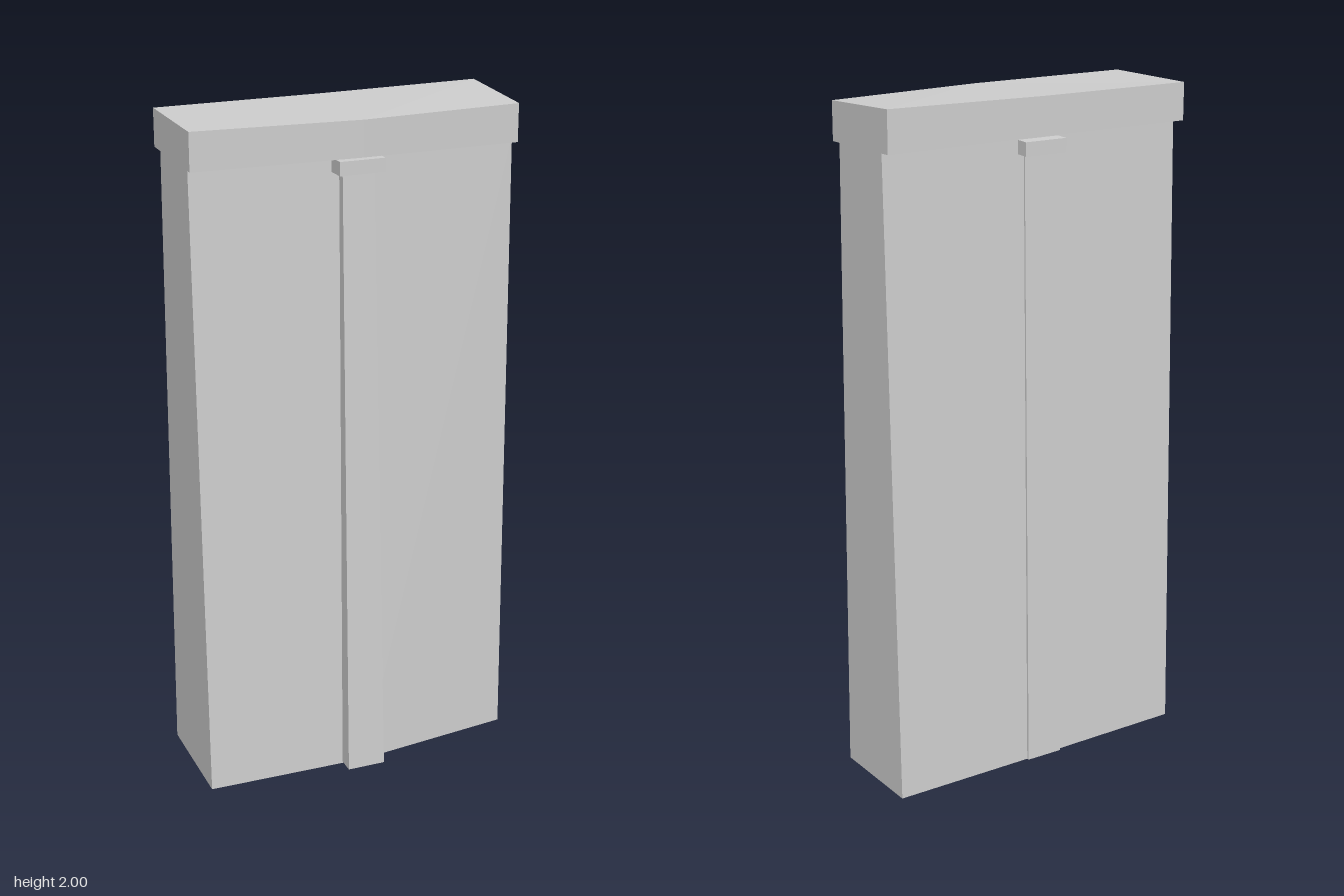
import * as THREE from 'three';

const material = new THREE.MeshStandardMaterial({ color: 0xcccccc, side: THREE.DoubleSide });

// Joins two rings of [x, y, z] corners (front left, then counter-clockwise seen from above).
function loft(name, bottom, top, closeTop, closeBottom) {
  const n = bottom.length;
  const positions = [];
  const tri = (a, b, c) => positions.push(...a, ...b, ...c);
  for (let i = 0; i < n; i++) {
    const j = (i + 1) % n;
    tri(bottom[i], bottom[j], top[j]);
    tri(bottom[i], top[j], top[i]);
  }
  // Fans start at the second corner so a six-sided ring folds along its middle.
  for (let k = 1; k < n - 1; k++) {
    const i = (1 + k) % n, j = (2 + k) % n;
    if (closeTop) tri(top[1], top[i], top[j]);
    if (closeBottom) tri(bottom[1], bottom[j], bottom[i]);
  }
  const geometry = new THREE.BufferGeometry();
  geometry.setAttribute('position', new THREE.Float32BufferAttribute(positions, 3));
  geometry.computeVertexNormals();
  const mesh = new THREE.Mesh(geometry, material);
  mesh.name = name;
  return mesh;
}

// Six-cornered wall outline: z at left end, bend and right end, front then back.
function wallRing(x0, xMid, x1, front, back, y) {
  return [
    [x0, y[0], front[0]], [xMid, y[1], front[1]], [x1, y[2], front[2]],
    [x1, y[3], back[2]], [xMid, y[4], back[1]], [x0, y[5], back[0]],
  ];
}

// Four-cornered outline whose front and back edges may differ in height.
function boxRing(x0, x1, zFront, zBack, yFront, yBack) {
  return [[x0, yFront, zFront], [x1, yFront, zFront], [x1, yBack, zBack], [x0, yBack, zBack]];
}

export function createModel() {
  const group = new THREE.Group();
  group.name = 'wallSegment';

  // Tapered wall, slightly bent in plan and open underneath
  group.add(loft('wall',
    wallRing(-0.49, 0, 0.488, [0.153, 0.16, 0.098], [-0.194, -0.205, -0.211], Array(6).fill(0)),
    wallRing(-0.49, 0, 0.488, [0.09, 0.105, 0.068], [-0.155, -0.16, -0.16], Array(6).fill(1.89)),
    false, false));

  // Coping slab with an uneven top
  group.add(loft('coping',
    wallRing(-0.495, 0, 0.492, [0.126, 0.143, 0.098], [-0.195, -0.2, -0.2],
      [1.885, 1.885, 1.875, 1.88, 1.885, 1.885]),
    wallRing(-0.495, 0, 0.492, [0.126, 0.143, 0.098], [-0.195, -0.2, -0.2],
      [1.995, 1.99, 1.987, 2, 1.995, 1.995]),
    true, true));

  // Pilaster running through the wall, leaning in towards the top
  group.add(loft('pilaster',
    boxRing(-0.07, 0.046, 0.21, -0.213, 0.005, 0),
    boxRing(-0.058, 0.036, 0.13, -0.166, 1.86, 1.86),
    false, false));

  // Pilaster capital, also running through
  group.add(loft('capital',
    boxRing(-0.08, 0.055, 0.166, -0.2, 1.845, 1.833),
    boxRing(-0.08, 0.055, 0.166, -0.2, 1.885, 1.873),
    true, true));

  return group;
}
